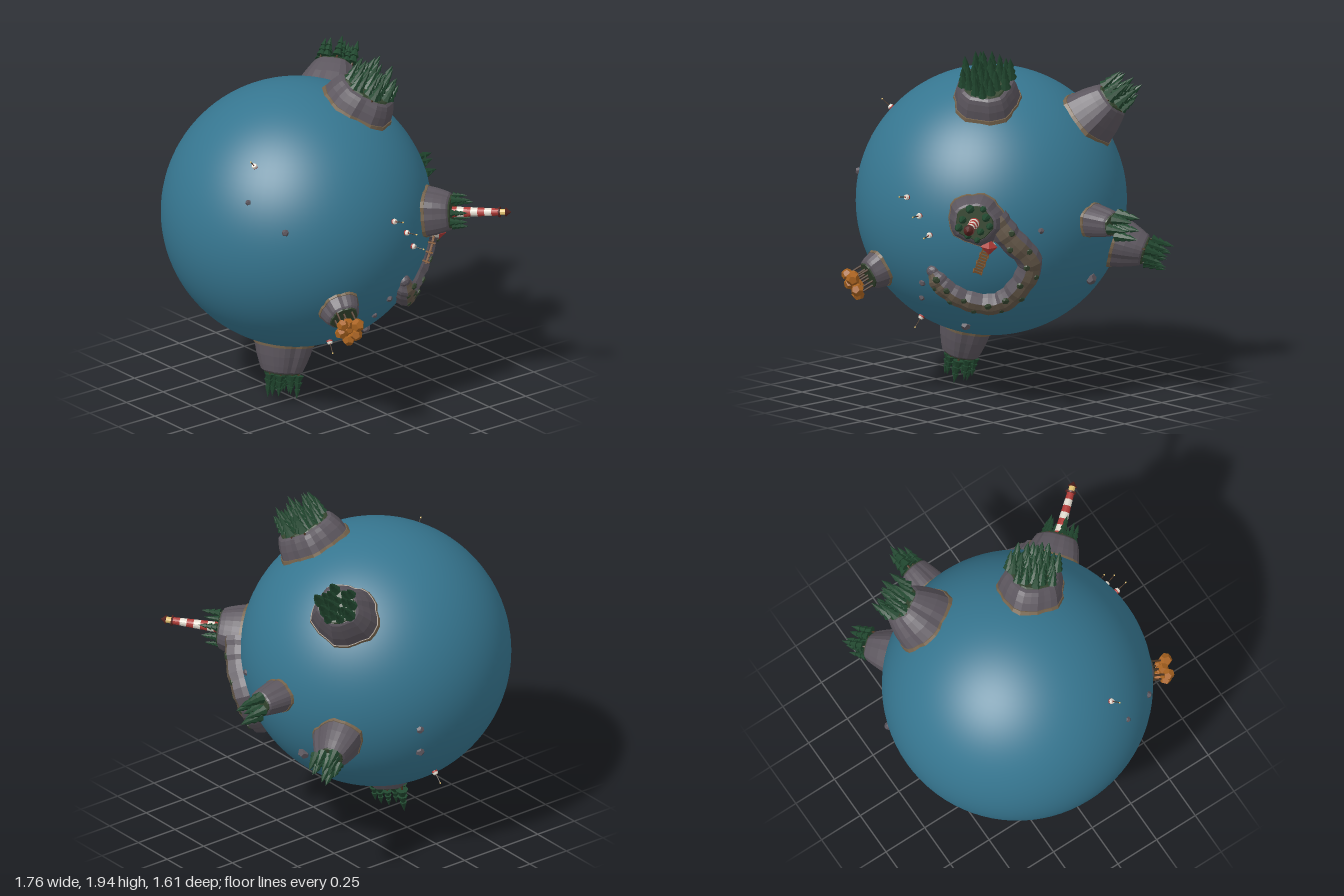
import * as THREE from 'three';
import { mergeGeometries } from 'three/addons/utils/BufferGeometryUtils.js';

const CENTER = new THREE.Vector3(-0.16, 1.05, -0.09);
const R = 0.73;
const UP = new THREE.Vector3(0, 1, 0);
const V = (a) => new THREE.Vector3(...a);

let seed = 7;
const rand = () => (seed = (seed * 16807) % 2147483647) / 2147483647;

const mat = (color, flatShading = true, side = THREE.FrontSide) =>
  new THREE.MeshStandardMaterial({ color, flatShading, side });
const M = {
  ocean: mat(0x367690, false), rock: mat(0x5c565e), sand: mat(0x75634c),
  grass: mat(0x34452f), pine: mat(0x21472f), bark: mat(0x4a3524),
  autumn: mat(0xa8621f), wood: mat(0x80552f), red: mat(0xb03a36),
  white: mat(0xe2dcd0), lamp: mat(0xe0c070), dark: mat(0x54221f),
  ridgeRock: mat(0x5c565e, true, THREE.DoubleSide), ridgeTop: mat(0x66594a, true, THREE.DoubleSide),
};

function add(parent, name, geometry, material, pos = [0, 0, 0]) {
  const mesh = new THREE.Mesh(geometry, material);
  mesh.name = name;
  mesh.position.set(...pos);
  parent.add(mesh);
  return mesh;
}

// Group standing on the globe: local +y points away from the centre, y = 0 at sea level
function stand(parent, name, dir, spin = 0) {
  const g = new THREE.Group();
  g.name = name;
  const d = V(dir).normalize();
  g.position.copy(d).multiplyScalar(R);
  g.quaternion.setFromUnitVectors(UP, d);
  g.rotateY(spin);
  parent.add(g);
  return g;
}

// Three-tier low-poly pine of unit height
const tier = (r, h, y) => new THREE.ConeGeometry(r, h, 7).translate(0, y + h / 2, 0);
const PINE = mergeGeometries([tier(0.21, 0.42, 0.16), tier(0.17, 0.38, 0.4), tier(0.12, 0.36, 0.64)]);
const TRUNK = new THREE.CylinderGeometry(0.035, 0.045, 0.3, 5).translate(0, 0.1, 0);

function pine(parent, x, y, z, h) {
  const t = new THREE.Group();
  t.name = 'pineTree';
  add(t, 'foliage', PINE, M.pine);
  add(t, 'trunk', TRUNK, M.bark);
  t.position.set(x, y, z);
  t.rotation.y = rand() * 6;
  t.scale.set(h * 0.95, h, h * 0.95);
  parent.add(t);
}

// Trees spread evenly over a disc
function grove(parent, count, radius, y, height, inner = 0) {
  for (let i = 0; i < count; i++) {
    const r = inner + (radius - inner) * Math.sqrt((i + 0.5) / count);
    const a = i * 2.4 + rand() * 0.4;
    pine(parent, r * Math.cos(a), y - 0.008, r * Math.sin(a), height * (0.8 + rand() * 0.4));
  }
}

// Cliff: faceted, uneven tapered column with a sandy foot and a grassy cap
function cliff(parent, base, top, height) {
  const phase = rand() * 6;
  const wobble = (a) => 1 + 0.06 * Math.sin(2 * a + phase) + 0.04 * Math.sin(5 * a + phase * 2) + 0.02 * Math.sin(11 * a);
  const shape = (geo) => {
    const p = geo.attributes.position;
    for (let i = 0; i < p.count; i++) {
      const w = wobble(Math.atan2(p.getZ(i), p.getX(i)));
      p.setXYZ(i, p.getX(i) * w, p.getY(i), p.getZ(i) * w);
    }
    return geo;
  };
  const sink = R - Math.sqrt(R * R - base * base);
  const profile = [[base * 1.02, -sink - 0.025], [base, -sink + 0.01], [base * 0.7 + top * 0.3, height * 0.35],
    [base * 0.3 + top * 0.7, height * 0.72], [top, height - 0.008], [top * 0.9, height], [0, height + 0.004]];
  add(parent, 'cliff', shape(new THREE.LatheGeometry(profile.map((p) => new THREE.Vector2(...p)), 28)), M.rock);
  add(parent, 'beach', shape(new THREE.CylinderGeometry(base * 1.02, base * 1.06, 0.024, 28)), M.sand, [0, -sink + 0.002, 0]);
  add(parent, 'grassCap', shape(new THREE.CylinderGeometry(top * 0.84, top * 0.9, 0.01, 28)), M.grass, [0, height + 0.002, 0]);
}

function lighthouse(parent, y) {
  const g = new THREE.Group();
  g.name = 'lighthouse';
  g.position.y = y;
  const bands = 7, h = 0.038, rad = (i) => 0.03 - i * 0.0015;
  for (let i = 0; i < bands; i++) {
    add(g, 'towerBand', new THREE.CylinderGeometry(rad(i + 1), rad(i), h, 14), i % 2 ? M.white : M.red, [0, h * (i + 0.5), 0]);
  }
  const t = bands * h;
  add(g, 'gallery', new THREE.CylinderGeometry(0.03, 0.027, 0.009, 14), M.dark, [0, t + 0.004, 0]);
  add(g, 'lantern', new THREE.CylinderGeometry(0.017, 0.017, 0.032, 10), M.lamp, [0, t + 0.024, 0]);
  add(g, 'roof', new THREE.ConeGeometry(0.026, 0.03, 12), M.dark, [0, t + 0.053, 0]);
  parent.add(g);
}

// Strip skinned between two edges of a cross-section swept along frames
function sweep(frames, section) {
  const pos = [], index = [], n = section.length;
  frames.forEach((f) => section.forEach(([s, u]) => {
    const p = f.p.clone().addScaledVector(f.side, s * f.k).addScaledVector(f.up, u * f.k);
    pos.push(p.x, p.y, p.z);
  }));
  for (let i = 0; i < frames.length - 1; i++) for (let j = 0; j < n - 1; j++) {
    const a = i * n + j, b = a + n;
    index.push(a, a + 1, b, b, a + 1, b + 1);
  }
  const g = new THREE.BufferGeometry();
  g.setAttribute('position', new THREE.Float32BufferAttribute(pos, 3));
  g.setIndex(index);
  g.computeVertexNormals();
  return g;
}

// Crescent headland curling around the bay
function headland(parent) {
  const path = new THREE.CatmullRomCurve3([[0.57, 0.06, 0.5], [0.63, -0.05, 0.44], [0.67, -0.2, 0.32], [0.59, -0.36, 0.34],
    [0.48, -0.45, 0.4], [0.36, -0.43, 0.527], [0.28, -0.35, 0.62], [0.245, -0.27, 0.67]].map(V));
  const frames = [];
  for (let i = 0; i <= 36; i++) {
    const t = i / 36, up = path.getPoint(t).normalize();
    const side = path.getTangent(t).cross(up).normalize();
    const k = (1 - 0.3 * t) * Math.sqrt(Math.min(1, (1.03 - t) * 10)) * (1 + 0.05 * Math.sin(i * 2.1));
    frames.push({ p: up.clone().multiplyScalar(R), up, side, k });
  }
  const g = new THREE.Group();
  g.name = 'headland';
  add(g, 'ridgeSideA', sweep(frames, [[-0.078, -0.03], [-0.07, 0.03], [-0.045, 0.075]]), M.ridgeRock);
  add(g, 'ridgeSideB', sweep(frames, [[0.045, 0.075], [0.07, 0.03], [0.078, -0.03]]), M.ridgeRock);
  add(g, 'ridgeTop', sweep(frames, [[-0.045, 0.075], [0, 0.084], [0.045, 0.075]]), M.ridgeTop);
  add(g, 'ridgeTip', new THREE.IcosahedronGeometry(0.035, 1), M.rock, frames[36].p.toArray());
  for (let i = 4; i < 35; i += 2) {
    const f = frames[i];
    const p = f.p.clone().addScaledVector(f.up, 0.073 * f.k).addScaledVector(f.side, (i % 4 ? 0.036 : -0.028) * f.k);
    const bush = add(g, 'bush', new THREE.IcosahedronGeometry(0.017 + rand() * 0.008, 0), M.grass, p.toArray());
    bush.quaternion.setFromUnitVectors(UP, f.up);
    bush.scale.y = 0.55;
  }
  parent.add(g);
}

export function createModel() {
  const model = new THREE.Group();
  model.name = 'oceanPlanet';
  const globe = new THREE.Group();
  globe.name = 'globe';
  globe.position.copy(CENTER);
  model.add(globe);
  add(globe, 'ocean', new THREE.SphereGeometry(R, 80, 56), M.ocean);

  // Forested islands: direction, base radius, top radius, height, tree count, tree height
  [
    [[0.32, 0.88, 0.34], 0.185, 0.15, 0.1, 32, 0.135],
    [[0.62, 0.66, -0.42], 0.175, 0.11, 0.165, 18, 0.14],
    [[0.99, -0.01, -0.11], 0.095, 0.072, 0.14, 6, 0.15],
    [[0.79, -0.27, -0.55], 0.135, 0.085, 0.15, 12, 0.135],
    [[-0.18, -0.98, 0.09], 0.148, 0.105, 0.15, 13, 0.145],
  ].forEach(([dir, base, top, height, count, size]) => {
    const g = stand(globe, 'forestIsland', dir);
    cliff(g, base, top, height);
    grove(g, count, top * 0.92, height, size);
  });

  // Autumn island with round-crowned trees
  const autumn = stand(globe, 'autumnIsland', [-0.27, -0.43, 0.865]);
  cliff(autumn, 0.105, 0.085, 0.075);
  for (let i = 0; i < 8; i++) {
    const a = i * 2.4, r = 0.068 * Math.sqrt(i / 7), x = r * Math.cos(a), z = r * Math.sin(a);
    const y = 0.15 + rand() * 0.035;
    add(autumn, 'autumnTrunk', new THREE.CylinderGeometry(0.005, 0.007, y - 0.06, 5), M.bark, [x, (y + 0.06) / 2, z]);
    add(autumn, 'autumnCrown', new THREE.DodecahedronGeometry(0.03 + rand() * 0.008), M.autumn, [x, y, z]).rotation.set(i, i * 2, 0);
  }

  // Lighthouse island and its headland
  const cape = stand(globe, 'lighthouseIsland', [0.66, 0.07, 0.75]);
  cliff(cape, 0.145, 0.11, 0.12);
  lighthouse(cape, 0.115);
  grove(cape, 9, 0.095, 0.12, 0.105, 0.045);
  headland(globe);

  // Red-roofed hut at the head of the pier
  const hut = stand(globe, 'hut', [0.57, -0.09, 0.54]);
  add(hut, 'hutWalls', new THREE.BoxGeometry(0.05, 0.06, 0.05), M.white, [0, 0.02, 0]);
  add(hut, 'hutRoof', new THREE.ConeGeometry(0.046, 0.035, 4), M.red, [0, 0.067, 0]).rotation.y = Math.PI / 4;

  // Pier: planks on posts, following the water
  const pierStart = V([0.545, -0.1, 0.53]), pierEnd = V([0.47, -0.24, 0.53]);
  const pier = new THREE.Group();
  pier.name = 'pier';
  globe.add(pier);
  for (let i = 0; i < 10; i++) {
    const up = pierStart.clone().lerp(pierEnd, i / 9).normalize();
    const across = pierEnd.clone().sub(pierStart).cross(up).normalize();
    const section = new THREE.Group();
    section.name = 'pierSection';
    section.position.copy(up).multiplyScalar(R + 0.025);
    section.quaternion.setFromRotationMatrix(new THREE.Matrix4().makeBasis(across, up, across.clone().cross(up)));
    add(section, 'plank', new THREE.BoxGeometry(0.046, 0.006, 0.012), M.wood);
    for (const s of [-1, 1]) {
      add(section, 'rail', new THREE.BoxGeometry(0.005, 0.007, 0.02), M.wood, [s * 0.017, -0.005, 0]);
      if (i % 3 === 0) add(section, 'post', new THREE.CylinderGeometry(0.004, 0.004, 0.05, 6), M.wood, [s * 0.023, -0.012, 0]);
    }
    pier.add(section);
  }

  // Buoys
  [[-0.51, 0.48, 0.28], [0.11, 0.14, 0.72], [0.2, 0.05, 0.71], [0.26, -0.05, 0.69], [-0.1, -0.6, 0.42], [0, -0.53, -0.52]].forEach((dir) => {
    const b = stand(globe, 'buoy', dir);
    add(b, 'float', new THREE.SphereGeometry(0.016, 10, 8), M.red, [0, 0.006, 0]);
    add(b, 'floatBand', new THREE.CylinderGeometry(0.012, 0.0165, 0.012, 10), M.white, [0, 0.015, 0]);
    add(b, 'mast', new THREE.CylinderGeometry(0.0025, 0.0025, 0.055, 5), M.bark, [0, 0.046, 0]);
    add(b, 'mastLight', new THREE.SphereGeometry(0.005, 6, 5), M.lamp, [0, 0.074, 0]);
  });

  // Sea rocks: direction and size
  [[-0.59, 0.3, 0.33, 0.016], [-0.49, 0.16, 0.53, 0.02], [0.14, -0.34, 0.63, 0.02], [0.08, -0.44, 0.58, 0.018],
    [0.19, -0.61, 0.36, 0.029], [0.68, -0.02, 0.26, 0.018], [0.62, -0.36, -0.16, 0.034],
    [0.23, -0.13, -0.68, 0.023], [0.2, -0.29, -0.64, 0.025]].forEach(([x, y, z, size], i) => {
    const s = stand(globe, 'seaRock', [x, y, z], i);
    add(s, 'boulder', new THREE.DodecahedronGeometry(size), M.rock).rotation.set(i, i * 1.7, 0);
  });
  return model;
}
